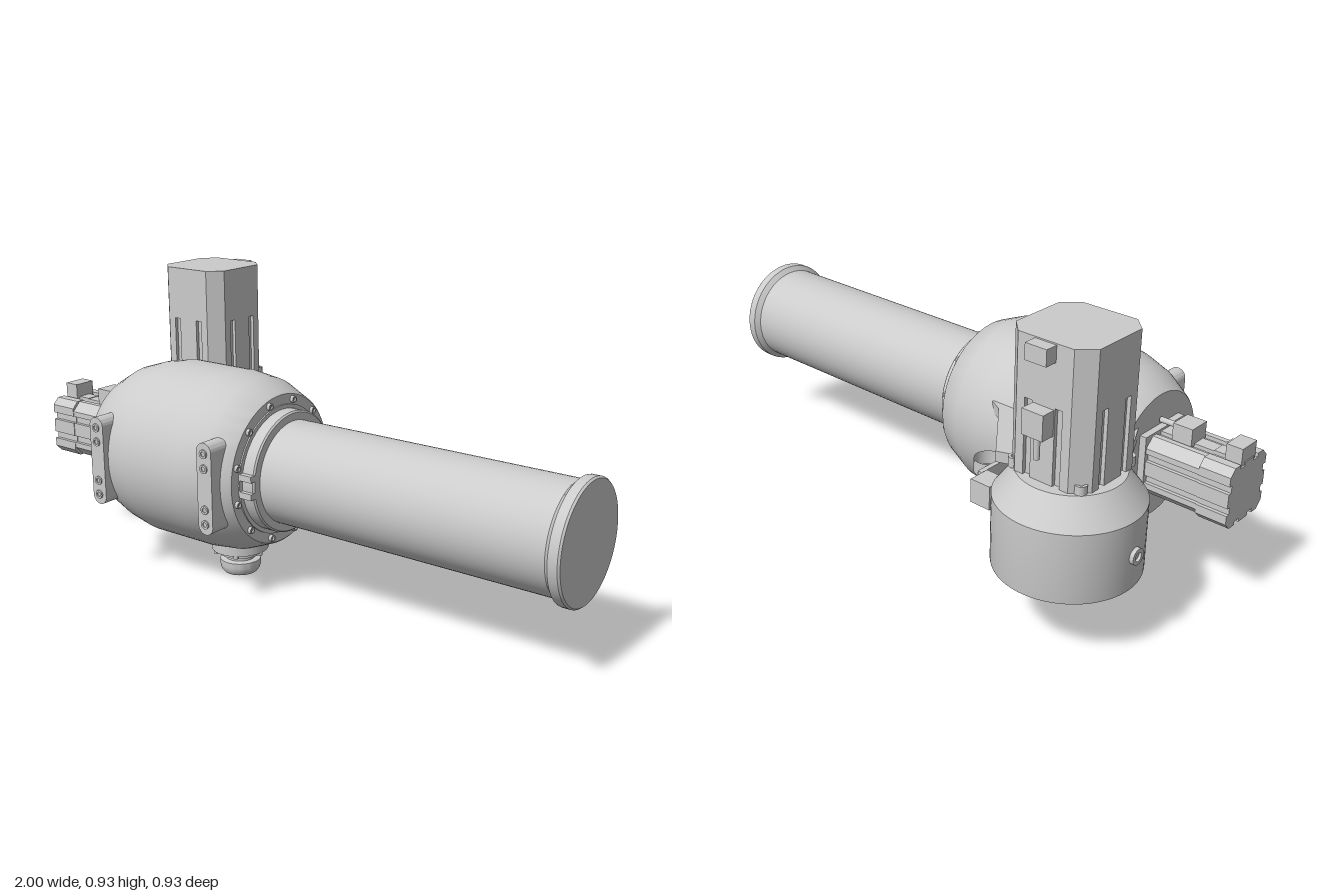
import * as THREE from 'three';
import { toCreasedNormals } from 'three/addons/utils/BufferGeometryUtils.js';

const grey = new THREE.MeshStandardMaterial({ color: 0xcccccc });
const greyThin = new THREE.MeshStandardMaterial({ color: 0xcccccc, side: THREE.DoubleSide });
const AY = 0.393, AZ = 0.17;          // main horizontal axis
const HX = -0.695, HZ = -0.25;        // vertical gear housing axis
const MX = -0.685, MZ = -0.235;       // vertical motor axis

export function createModel() {
  const model = new THREE.Group();

  function add(name, geo, x = 0, y = 0, z = 0, mat = grey) {
    const m = new THREE.Mesh(geo, mat);
    m.name = name;
    m.position.set(x, y, z);
    model.add(m);
    return m;
  }
  const box = (name, x0, x1, y0, y1, z0, z1) =>
    add(name, new THREE.BoxGeometry(x1 - x0, y1 - y0, z1 - z0), (x0 + x1) / 2, (y0 + y1) / 2, (z0 + z1) / 2);
  // Profile of [radius, height] pairs turned around y
  const turned = (pts, seg = 64) =>
    toCreasedNormals(new THREE.LatheGeometry(pts.map(p => new THREE.Vector2(p[0], p[1])), seg), 0.5);
  const turnedX = (pts, seg) => turned(pts, seg).rotateZ(-Math.PI / 2);
  // Plan outline of [x, z] pairs raised from y0 to y1
  function slab(pts, y0, y1) {
    const s = new THREE.Shape(pts.map(p => new THREE.Vector2(p[0], -p[1])));
    return new THREE.ExtrudeGeometry(s, { depth: y1 - y0, bevelEnabled: false, curveSegments: 12 })
      .rotateX(-Math.PI / 2).translate(0, y0, 0);
  }
  // Socket-head screw along y, x or z
  function bolt(name, x, y, z, r, h, axis = 'y') {
    const g = turned([[0, -h / 2], [r, -h / 2], [r, h / 2], [r * 0.55, h / 2], [r * 0.55, h * 0.1], [0, h * 0.1]], 16);
    if (axis === 'x') g.rotateZ(-Math.PI / 2);
    if (axis === 'z') g.rotateX(Math.PI / 2);
    return add(name, g, x, y, z);
  }
  // Square outline with cut corners and optional pairs of grooves on each side
  function motorOutline(w, cut, groove) {
    const h = w / 2, out = [];
    const side = [[-h + cut, h]];
    if (groove) for (const c of [-groove, groove])
      side.push([c - 0.012, h], [c - 0.012, h - 0.012], [c + 0.012, h - 0.012], [c + 0.012, h]);
    side.push([h - cut, h]);
    for (let k = 0; k < 4; k++) {
      const c = Math.round(Math.cos(k * Math.PI / 2)), s = Math.round(Math.sin(k * Math.PI / 2));
      for (const [u, v] of side) out.push([u * c + v * s, -u * s + v * c]);
    }
    return out;
  }

  // Barrel-shaped body and long tube
  add('body', turnedX([[0, -0.7], [0.2, -0.7], [0.205, -0.695], [0.25, -0.62], [0.276, -0.54], [0.291, -0.46],
    [0.291, -0.23], [0.28, -0.14], [0.245, -0.055], [0.24, -0.05], [0, -0.05]]), 0, AY, AZ);
  add('collar', turnedX([[0, -0.06], [0.208, -0.06], [0.208, -0.045], [0.195, -0.045], [0.195, -0.005], [0.19, 0], [0, 0]]), 0, AY, AZ);
  add('tube', turnedX([[0, -0.01], [0.166, -0.01], [0.166, 0.95], [0.182, 0.965], [0.183, 0.97],
    [0.183, 0.994], [0.178, 1], [0, 1]]), 0, AY, AZ);
  for (let i = 0; i < 12; i++) {
    const a = (i + 0.5) * Math.PI / 6;
    bolt('bodyBolt', -0.046, AY + 0.223 * Math.cos(a), AZ + 0.223 * Math.sin(a), 0.011, 0.014, 'x');
  }
  for (const dy of [-0.028, 0.028]) box('collarKey', -0.045, 0, AY + dy - 0.01, AY + dy + 0.01, 0.35, 0.378);

  // Front mounting lugs with screws
  for (const x of [-0.57, -0.11]) {
    const s = new THREE.Shape();
    s.absarc(0, 0.117, 0.029, 0, Math.PI);
    s.absarc(0, -0.117, 0.029, Math.PI, 2 * Math.PI);
    add('mountingLug', toCreasedNormals(new THREE.ExtrudeGeometry(s, { depth: 0.125, bevelEnabled: false, curveSegments: 16 }), 0.5),
      x, AY, 0.338);
    for (const dy of [-0.112, -0.065, 0.065, 0.112]) bolt('lugScrew', x, AY + dy, 0.463, 0.014, 0.01, 'z');
  }

  // Bottom knob
  add('knob', turned([[0, 0], [0.04, 0], [0.055, 0.006], [0.064, 0.018], [0.067, 0.032], [0.067, 0.05], [0.048, 0.053],
    [0.048, 0.07], [0.07, 0.07], [0.07, 0.087], [0.093, 0.087], [0.093, 0.16], [0, 0.16]], 40), -0.228, 0, AZ);
  for (let i = 0; i < 6; i++) {
    const a = i * Math.PI / 3;
    bolt('knobBolt', -0.228 + 0.082 * Math.cos(a), 0.084, AZ + 0.082 * Math.sin(a), 0.009, 0.016).rotation.x = Math.PI;
  }

  // Vertical gear housing, open underneath
  add('gearHousing', turned([[0, 0.26], [0.178, 0.26], [0.184, 0.225], [0.215, 0.225], [0.216, 0.23], [0.216, 0.44],
    [0.155, 0.522], [0, 0.522]]), HX, 0, HZ);
  for (const x of [-0.09, 0, 0.09]) for (const z of [-0.09, 0.09])
    add('housingPeg', turned([[0, 0.205], [0.02, 0.205], [0.02, 0.265]], 16), HX + x, 0, HZ + z);
  bolt('housingPlug', -0.913, 0.33, -0.24, 0.025, 0.02, 'x').rotation.y = Math.PI;

  // Bridge between housing and body: two flanges with a recessed web
  const flange = [[-0.75, -0.04], [-0.68, 0.1], [-0.28, 0.1], [-0.28, -0.095], [-0.325, -0.12], [-0.49, -0.325], [-0.69, -0.25]];
  add('lowerFlange', slab(flange, 0.225, 0.262));
  add('upperFlange', slab(flange, 0.49, 0.524));
  add('bridgeWeb', slab([[-0.72, -0.05], [-0.67, 0.1], [-0.35, 0.1], [-0.41, -0.09], [-0.5, -0.22], [-0.69, -0.25]], 0.25, 0.5));
  const post = box('post', -0.52, -0.42, 0.098, 0.26, -0.135, -0.01);
  post.name = 'lowerPost';

  // Cable ring and bracket at the side
  add('cableRing', new THREE.CylinderGeometry(0.043, 0.043, 0.044, 32, 1, true), -0.365, 0.388, -0.21, greyThin);
  box('ringStrap', -0.41, -0.395, 0.365, 0.41, -0.29, -0.13);
  box('cableBracket', -0.5, -0.43, 0.352, 0.427, -0.36, -0.29);
  for (const y of [0.37, 0.406]) bolt('bracketScrew', -0.427, y, -0.322, 0.012, 0.014, 'x');
  for (const z of [-0.145, -0.272]) bolt('strapScrew', -0.39, 0.388, z, 0.01, 0.012, 'x');

  // Vertical motor
  add('motorLower', slab(motorOutline(0.27, 0.045, 0.05), 0.52, 0.75), MX, 0, MZ);
  add('motorUpper', slab(motorOutline(0.27, 0.045), 0.75, 0.93), MX, 0, MZ);
  for (const sx of [-1, 1]) for (const sz of [-1, 1]) {
    bolt('motorBolt', MX + sx * 0.112, 0.533, MZ + sz * 0.108, 0.018, 0.03);
    bolt('motorTopScrew', MX + sx * 0.1, 0.924, MZ + sz * 0.1, 0.013, 0.012);
  }
  box('motorTopConnector', MX - 0.035, MX + 0.035, 0.878, 0.926, -0.41, -0.36);
  box('motorConnector', MX - 0.035, MX + 0.035, 0.67, 0.745, -0.415, -0.365);
  add('motorCable', new THREE.CylinderGeometry(0.009, 0.009, 0.075, 16), MX, 0.637, -0.391);

  // Horizontal motor at the end of the body
  const sideMotor = (cut, x0, x1, w, name) =>
    add(name, slab(motorOutline(w, cut, 0.035), x0, x1).rotateZ(-Math.PI / 2), 0, AY, AZ);
  sideMotor(0.022, -1, -0.9, 0.194, 'sideMotorCap');
  sideMotor(0.03, -0.9, -0.715, 0.19, 'sideMotorBody');
  box('sideMotorFlange', -0.722, -0.69, 0.293, 0.495, 0.07, 0.27);
  box('sideMotorEndConnector', -0.997, -0.945, 0.48, 0.535, 0.13, 0.205);
  box('sideMotorConnector', -0.835, -0.77, 0.48, 0.538, 0.13, 0.205);
  add('sideMotorCable', new THREE.CylinderGeometry(0.009, 0.009, 0.07, 16).rotateZ(Math.PI / 2), -0.74, 0.513, 0.168);

  return model;
}
